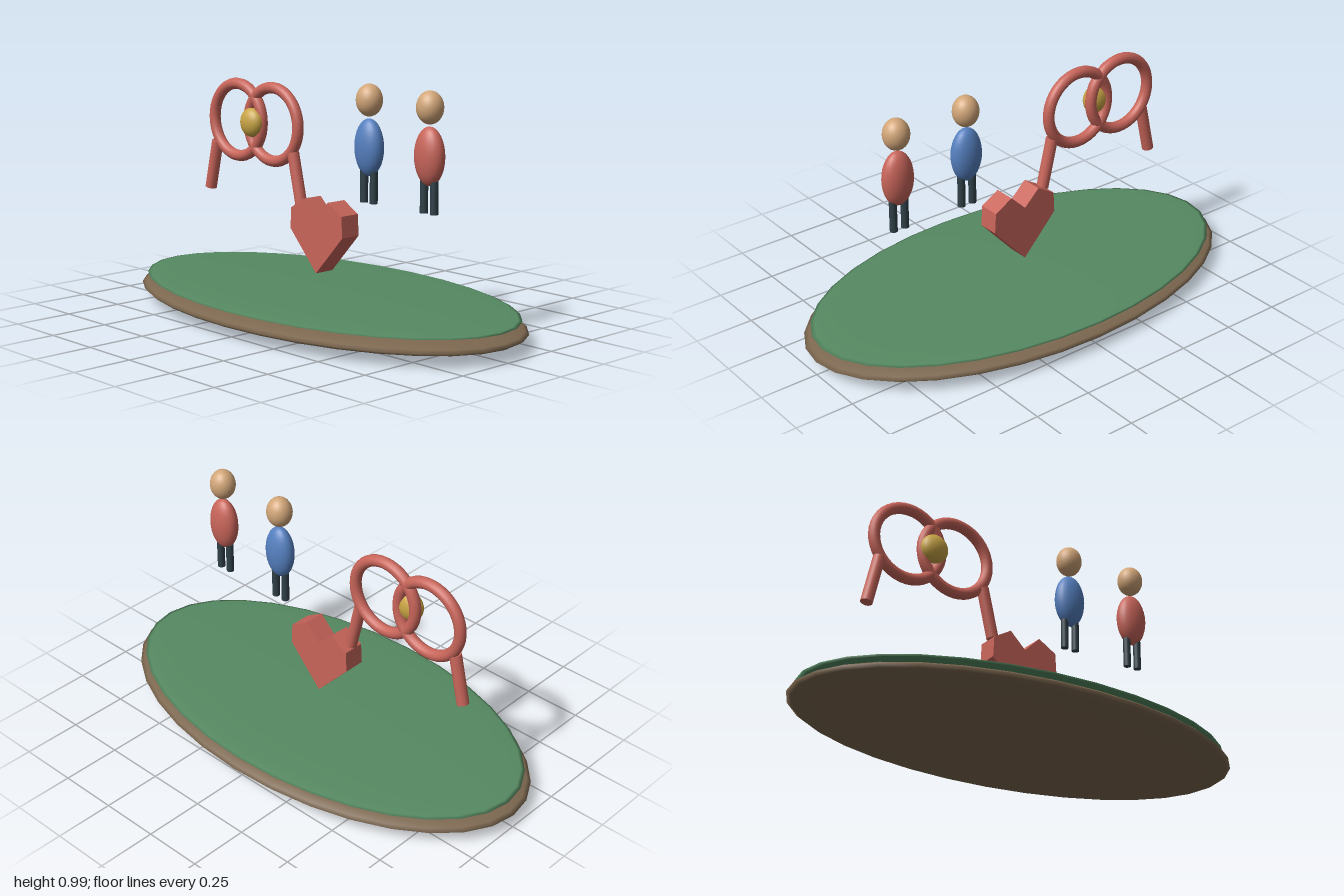
import * as THREE from 'three';

const mat = (color) => new THREE.MeshStandardMaterial({ color });
const earth = mat(0x7d6850), grass = mat(0x568a62), red = mat(0xc8655a), blue = mat(0x5580c0);
const skin = mat(0xd2a679), gold = mat(0xc9a545), dark = mat(0x2f4047);

function add(parent, name, geometry, material, x, y, z = 0) {
  const mesh = new THREE.Mesh(geometry, material);
  mesh.name = name;
  mesh.position.set(x, y, z);
  parent.add(mesh);
  return mesh;
}

const ellipsoid = (rx, ry, rz, w = 24, h = 16) => new THREE.SphereGeometry(1, w, h).scale(rx, ry, rz);

// Simple standing person: head, oval body and two legs
function makePerson(name, x, bodyMaterial) {
  const person = new THREE.Group();
  person.name = name;
  person.position.x = x;
  add(person, 'head', ellipsoid(0.055, 0.065, 0.053), skin, 0, 0.92);
  add(person, 'body', ellipsoid(0.069, 0.115, 0.048), bodyMaterial, 0, 0.732);
  for (const side of [-1, 1]) {
    add(person, side > 0 ? 'leftLeg' : 'rightLeg',
      new THREE.CylinderGeometry(0.016, 0.016, 0.13, 16), dark, side * 0.027, 0.574);
  }
  return person;
}

// Ribbon bow: two overlapping loops, hanging tails and a knot
function makeBow() {
  const bow = new THREE.Group();
  bow.name = 'bow';
  bow.position.set(-0.425, 0.767, 0);
  for (const side of [-1, 1]) {
    const label = side > 0 ? 'left' : 'right';
    add(bow, label + 'Loop', new THREE.TorusGeometry(0.155, 0.024, 14, 40), red, side * 0.112, 0);
    const tail = add(bow, label + 'Tail', new THREE.CylinderGeometry(0.025, 0.025, 0.215, 16),
      red, side * 0.268, -0.208, 0.006);
    tail.rotation.z = side * 0.23;
  }
  add(bow, 'knot', ellipsoid(0.061, 0.062, 0.04), gold, 0, 0, 0.02);
  return bow;
}

// Faceted heart cut from a thick slab
function makeHeart() {
  const outline = [[0, 0.187], [0.155, 0.355], [0.15, 0.443], [0.07, 0.49], [0, 0.422],
    [-0.07, 0.49], [-0.15, 0.443], [-0.155, 0.355]];
  const shape = new THREE.Shape(outline.map(([x, y]) => new THREE.Vector2(x, y)));
  return new THREE.ExtrudeGeometry(shape, { depth: 0.092, bevelEnabled: false }).translate(0, 0, -0.046);
}

export function createModel() {
  const model = new THREE.Group();
  model.name = 'islandScene';

  // Flattened oval ground with a grass cap
  add(model, 'ground', ellipsoid(1, 0.058, 0.545, 32, 16), earth, 0, 0.058);
  add(model, 'grass', ellipsoid(0.97, 0.017, 0.525, 32, 16), grass, 0, 0.105);

  add(model, 'heart', makeHeart(), red, 0, 0);
  model.add(makeBow());
  model.add(makePerson('bluePerson', 0.26, blue));
  model.add(makePerson('redPerson', 0.588, red));
  return model;
}
